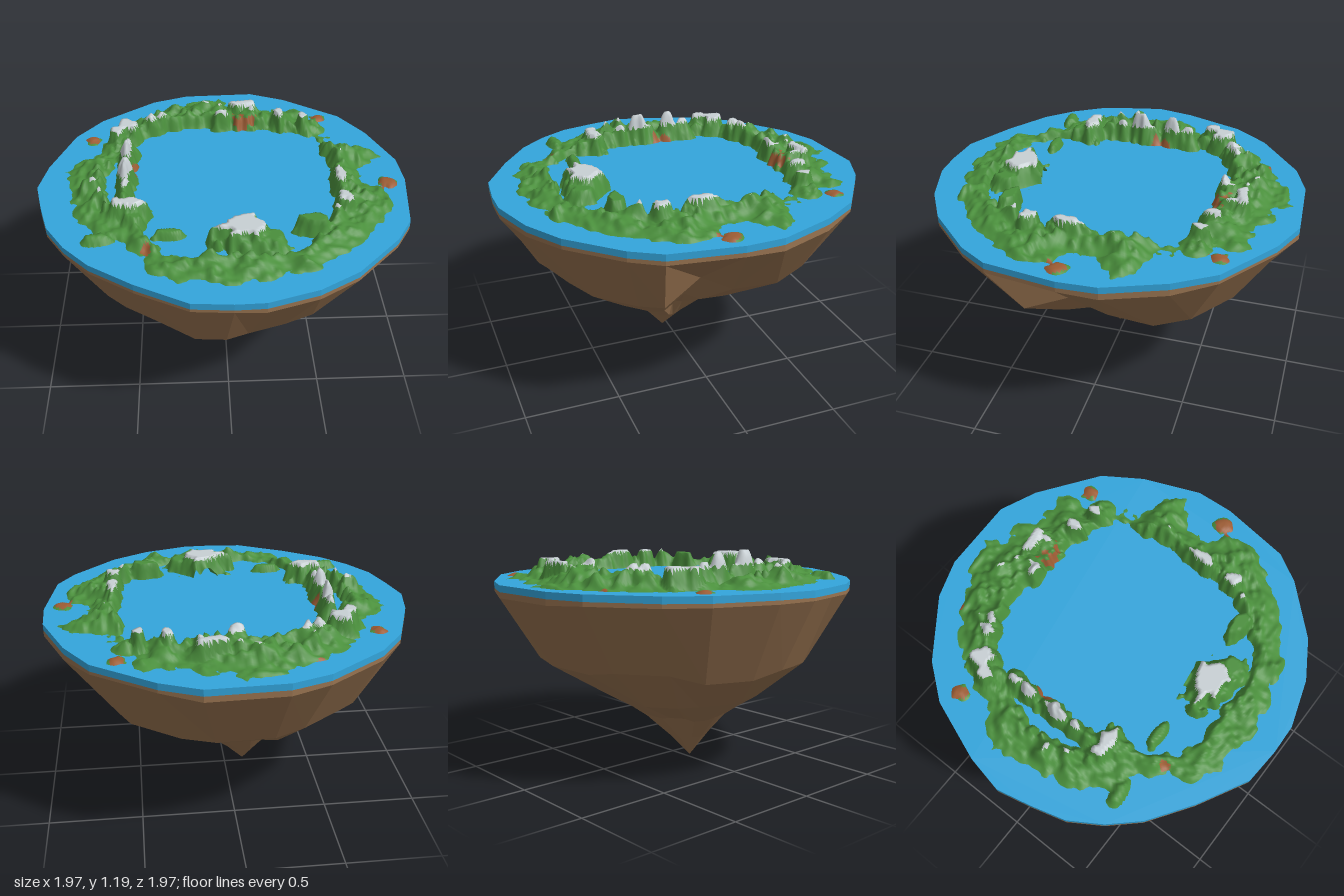
import * as THREE from 'three';

const SEA = 1.02;
const SLAB = 0.035;
const TIP = [-0.11, 0, 0.03];
// Island outline, [x, z]
const RIM = [
  [0.97, 0.02], [0.92, 0.39], [0.83, 0.54], [0.6, 0.78], [0.4, 0.9], [0.15, 0.98], [0, 0.985], [-0.2, 0.97],
  [-0.46, 0.83], [-0.68, 0.68], [-0.81, 0.54], [-0.91, 0.38], [-0.96, 0.2], [-1, 0.02], [-0.96, -0.18],
  [-0.84, -0.5], [-0.7, -0.68], [-0.4, -0.9], [-0.2, -0.97], [0.2, -0.985], [0.4, -0.9], [0.71, -0.68],
  [0.84, -0.48], [0.96, -0.18],
];
// Inner and outer shore radius of the land every 15 degrees, from +x towards +z
const INNER = [0.58, 0.6, 0.65, 0.64, 0.7, 0.69, 0.66, 0.69, 0.68, 0.61, 0.58, 0.64,
  0.65, 0.62, 0.6, 0.64, 0.63, 0.57, 0.53, 0.54, 0.6, 0.68, 0.65, 0.59];
const OUTER = [0.72, 0.87, 0.87, 0.87, 0.87, 0.82, 0.82, 0.8, 0.81, 0.74, 0.79, 0.84,
  0.87, 0.86, 0.78, 0.83, 0.84, 0.87, 0.89, 0.88, 0.85, 0.8, 0.76, 0.87];
// Flat-topped hills: [x, z, half width, half depth, height]
const HILLS = [
  [0.07, 0.53, 0.16, 0.13, 0.11], [0.19, 0.57, 0.1, 0.09, 0.07],
  [-0.54, -0.46, 0.09, 0.08, 0.11], [-0.59, -0.39, 0.07, 0.07, 0.11],
  [0.14, -0.68, 0.12, 0.05, 0.11], [0.34, -0.57, 0.05, 0.08, 0.11], [0.48, -0.53, 0.05, 0.06, 0.1],
  [-0.52, 0.31, 0.13, 0.07, 0.11], [-0.47, 0.38, 0.07, 0.06, 0.07],
  [0.6, 0.06, 0.05, 0.14, 0.11], [0.6, 0.29, 0.06, 0.07, 0.105],
  [0.42, 0.46, 0.1, 0.05, 0.09], [-0.3, 0.48, 0.08, 0.035, 0.04], [-0.65, 0.5, 0.08, 0.045, 0.04],
];
// Sharp peaks in a row along the inner shore on the -x side
const PEAKS = [0.12, 0.17, 0.1, 0.17, 0.12, 0.09].map((h, i) => [-0.525, -0.25 + i * 0.094, 0.055, 0.085, h]);
// Low islets and patches of bare earth: [x, z, radius]
const ISLETS = [[0.58, -0.66, 0.045], [0.87, 0.05, 0.05], [-0.735, -0.45, 0.045]];
const EARTH = [...ISLETS, [0.13, -0.575, 0.06], [-0.38, -0.79, 0.03], [-0.46, -0.12, 0.05], [-0.4, 0.6, 0.025]];

const { clamp, lerp, smoothstep } = THREE.MathUtils;
const material = (color, extra = {}) => new THREE.MeshStandardMaterial({ color, ...extra });
const hash = (a, b) => {
  const s = Math.sin(a * 127.1 + b * 311.7) * 43758.5453;
  return s - Math.floor(s);
};

// Smooth value noise, -0.5 to 0.5
function noise(x, z) {
  const i = Math.floor(x), j = Math.floor(z);
  const u = smoothstep(x - i, 0, 1), v = smoothstep(z - j, 0, 1);
  return lerp(lerp(hash(i, j), hash(i + 1, j), u), lerp(hash(i, j + 1), hash(i + 1, j + 1), u), v) - 0.5;
}

function shore(table, angle) {
  const f = (angle / (Math.PI * 2)) * 24, i = Math.floor(f);
  return lerp(table[i % 24], table[(i + 1) % 24], f - i);
}

// Land height above the water
function landHeight(x, z, angle, radius) {
  const rough = noise(x * 11 + 40, z * 11 + 40), fine = noise(x * 32 + 90, z * 32 + 90);
  const fromInner = (radius - shore(INNER, angle) + rough * 0.04 + fine * 0.04) / 0.05;
  const fromOuter = (shore(OUTER, angle) - radius + rough * 0.13 + fine * 0.06) / 0.24;
  let h = Math.min(fromInner, fromOuter, 1) * (0.07 + rough * 0.08 + fine * 0.045);
  const raise = ([cx, cz, w, d, top], steep) => {
    const dist = Math.hypot((x - cx) / w, (z - cz) / d) + rough * 0.4 + fine * 0.5;
    h = Math.max(h, top * Math.min(1, (1 - dist) * steep));
  };
  HILLS.forEach((hill) => raise(hill, 2.2));
  PEAKS.forEach((peak) => raise(peak, 1.1));
  ISLETS.forEach(([cx, cz, r]) => raise([cx, cz, r, r, 0.015], 2));
  return clamp(h, -0.008, 0.17);
}

// Land: one polar height field, split into grass, snow and earth
function createLand() {
  const N = 340, M = 60, R0 = 0.42, R1 = 0.94;
  const positions = [], parts = { grass: [], snow: [], earth: [] };
  for (let i = 0; i < N; i++) {
    const angle = (i / N) * Math.PI * 2;
    for (let j = 0; j <= M; j++) {
      const r = lerp(R0, R1, j / M), x = r * Math.cos(angle), z = r * Math.sin(angle);
      positions.push(x, SEA + landHeight(x, z, angle, r), z);
    }
  }
  const all = [];
  const addFace = (...face) => {
    const mid = [0, 1, 2].map((k) => face.reduce((s, v) => s + positions[v * 3 + k], 0) / 3);
    if (face.every((v) => positions[v * 3 + 1] <= SEA)) return;
    all.push(...face);
    const ragged = 1 + noise(mid[0] * 30, mid[2] * 30);
    const bare = EARTH.some(([x, z, r]) => Math.hypot(mid[0] - x, mid[2] - z) < r * ragged) && mid[1] < SEA + 0.07;
    parts[bare ? 'earth' : mid[1] > SEA + 0.094 ? 'snow' : 'grass'].push(...face);
  };
  for (let i = 0; i < N; i++) {
    for (let j = 0; j < M; j++) {
      const a = i * (M + 1) + j, b = ((i + 1) % N) * (M + 1) + j;
      addFace(a, b, a + 1);
      addFace(b, b + 1, a + 1);
    }
  }
  const field = new THREE.BufferGeometry();
  field.setAttribute('position', new THREE.Float32BufferAttribute(positions, 3));
  field.setIndex(all);
  field.computeVertexNormals();

  const land = new THREE.Group();
  land.name = 'land';
  const colors = { grass: 0x4a8f3c, snow: 0xc8d0d4, earth: 0x9c5c34 };
  for (const [name, index] of Object.entries(parts)) {
    const geometry = new THREE.BufferGeometry();
    geometry.setAttribute('position', field.attributes.position);
    geometry.setAttribute('normal', field.attributes.normal);
    geometry.setIndex(index);
    const mesh = new THREE.Mesh(geometry, material(colors[name], { side: THREE.DoubleSide }));
    mesh.name = name;
    land.add(mesh);
  }
  return land;
}

// Rock: long facets in rings shrinking from the rim to the tip, [scale, y, y jitter]
function createRock() {
  const levels = [[1, SEA - SLAB, 0], [1, 0.96, 0.02], [0.75, 0.585, 0.06], [0.45, 0.385, 0.04],
    [0.225, 0.25, 0.03], [0.11, 0.125, 0], [0, 0, 0]];
  const rings = levels.map(([k, y, jitter], level) => RIM.map(([x, z], i) => {
    const pair = Math.floor(i / 2);
    let s = k, h = y + (hash(pair + 3, level) - 0.5) * jitter;
    if (level > 1 && level < 5) {
      s *= 1 - (hash(pair, level + 7) - 0.5) * 0.1;
      // gully on the +x side
      if (i === 0) s *= 0.68;
      if (i === 23) s *= 0.86;
    }
    // hanging lump at the front, undercut behind
    if (i >= 6 && i <= 8) {
      if (level === 4) [s, h] = [0.2, 0.2];
      if (level === 5) [s, h] = [0.09, 0.3];
    }
    return [lerp(TIP[0], x, s), h, lerp(TIP[2], z, s)];
  }));
  const corners = [], n = RIM.length;
  for (let l = 0; l < rings.length - 1; l++) {
    for (let i = 0; i < n; i++) {
      const a = rings[l][i], b = rings[l][(i + 1) % n], c = rings[l + 1][i], d = rings[l + 1][(i + 1) % n];
      corners.push(...a, ...b, ...c);
      if (l < rings.length - 2) corners.push(...b, ...d, ...c);
    }
  }
  const geometry = new THREE.BufferGeometry();
  geometry.setAttribute('position', new THREE.Float32BufferAttribute(corners, 3));
  geometry.computeVertexNormals();
  const rock = new THREE.Mesh(geometry, material(0x987350, { flatShading: true }));
  rock.name = 'rock';
  return rock;
}

// Water: thin slab with the island outline
function createWater() {
  const shape = new THREE.Shape(RIM.map(([x, z]) => new THREE.Vector2(x, z)));
  const geometry = new THREE.ExtrudeGeometry(shape, { depth: SLAB, bevelEnabled: false });
  geometry.rotateX(Math.PI / 2).translate(0, SEA, 0);
  const water = new THREE.Mesh(geometry, material(0x33a5dc));
  water.name = 'water';
  return water;
}

export function createModel() {
  const island = new THREE.Group();
  island.name = 'floatingIsland';
  island.add(createRock(), createWater(), createLand());
  return island;
}
